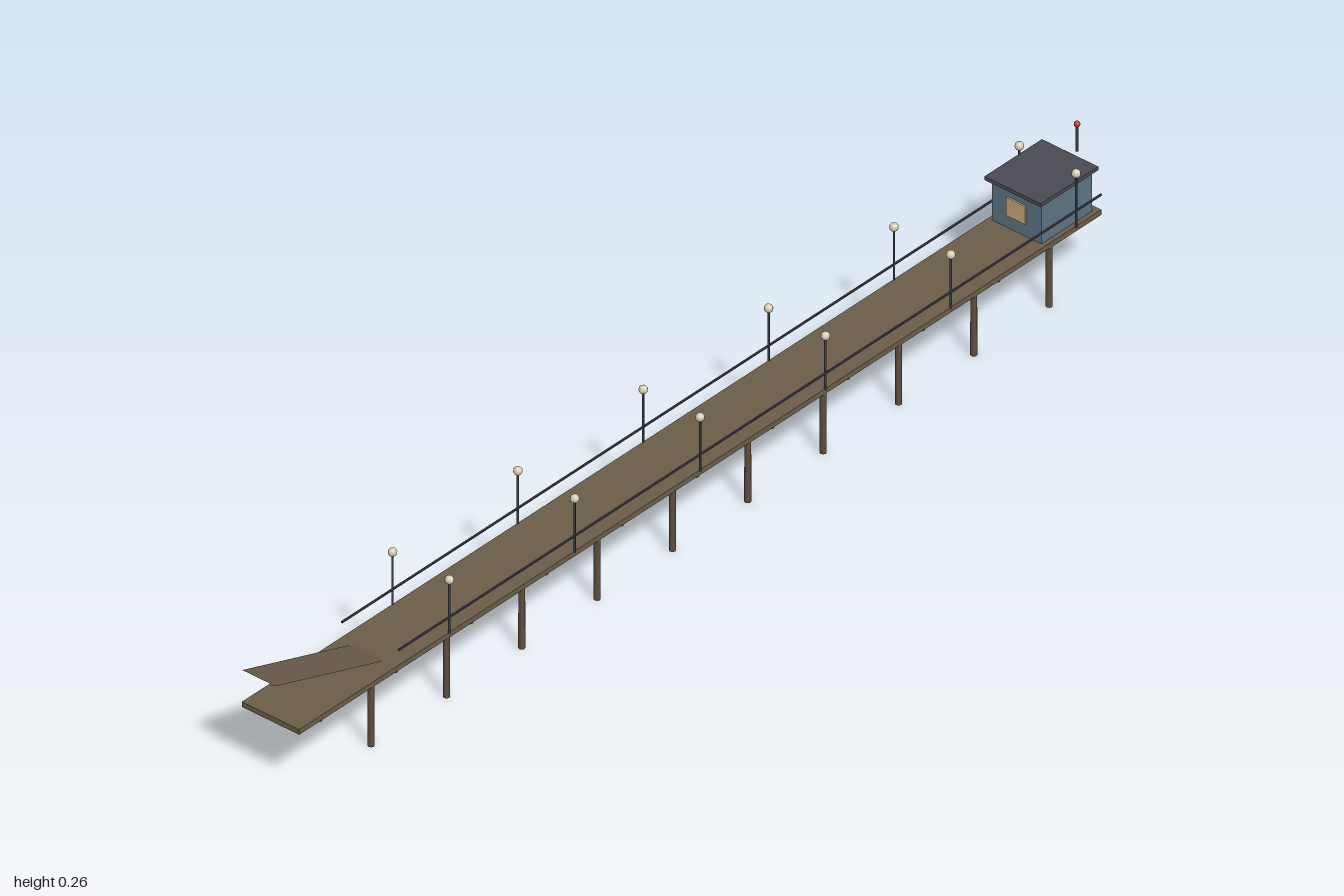
import * as THREE from 'three';

const mat = (name, color, extra = {}) => {
  const m = new THREE.MeshStandardMaterial({ color, ...extra });
  m.name = name;
  return m;
};

export function createModel() {
  const model = new THREE.Group();
  model.name = 'pier';

  const deckBrown = mat('deckBrown', 0x6b5d48);
  const pileBrown = mat('pileBrown', 0x5e4e40);
  const rampBrown = mat('rampBrown', 0x6a5b4b, { side: THREE.DoubleSide });
  const darkMetal = mat('darkMetal', 0x3a3d42);
  const wallBlue = mat('wallBlue', 0x5b7583);
  const roofGrey = mat('roofGrey', 0x4a4a52);
  const lampCream = mat('lampCream', 0xd6ccb4);
  const windowTan = mat('windowTan', 0xc8a878);
  const beaconRed = mat('beaconRed', 0xc03030);

  const add = (name, geometry, material, x, y, z) => {
    const mesh = new THREE.Mesh(geometry, material);
    mesh.name = name;
    mesh.position.set(x, y, z);
    model.add(mesh);
    return mesh;
  };
  const box = (name, w, h, d, material, x, y, z) =>
    add(name, new THREE.BoxGeometry(w, h, d), material, x, y, z);

  // Long walkway deck
  box('deck', 1.955, 0.01, 0.121, deckBrown, 0.006, 0.121, 0);

  // Thin boarding ramp rising towards the shore end
  const run = 0.265, rise = 0.087;
  const rampGeo = new THREE.PlaneGeometry(Math.hypot(run, rise), 0.07).rotateX(-Math.PI / 2);
  add('ramp', rampGeo, rampBrown, -1 + run / 2, 0.126 + rise / 2, 0)
    .rotation.z = -Math.atan2(rise, run);

  const pileGeo = new THREE.CylinderGeometry(0.0055, 0.0058, 0.117, 8);
  const poleGeo = new THREE.CylinderGeometry(0.002, 0.002, 0.1, 6);
  const headGeo = new THREE.SphereGeometry(0.0078, 10, 8);

  for (const side of [1, -1]) {
    // Supporting piles
    for (let i = 0; i < 10; i++) {
      add('pile', pileGeo, pileBrown, -0.79 + i * 0.1836, 0.0585, side * 0.055);
    }
    // Lamp posts
    for (let i = 0; i < 6; i++) {
      const x = -0.605 + i * 0.3055;
      add('lampPole', poleGeo, darkMetal, x, 0.173, side * 0.06);
      add('lampHead', headGeo, lampCream, x, 0.227, side * 0.06);
    }
    // Handrail
    box('handrail', 1.713, 0.003, 0.003, darkMetal, 0.1275, 0.155, side * 0.06);
  }

  // Booth at the sea end
  box('boothWalls', 0.123, 0.079, 0.104, wallBlue, 0.9085, 0.1655, 0);
  box('boothRoof', 0.14, 0.007, 0.119, roofGrey, 0.907, 0.2085, 0);
  box('boothWindow', 0.004, 0.035, 0.04, windowTan, 0.846, 0.168, 0);

  // Beacon mast
  add('beaconPole', new THREE.CylinderGeometry(0.0025, 0.0025, 0.05, 6), darkMetal, 0.994, 0.232, 0);
  add('beaconLight', new THREE.SphereGeometry(0.0055, 10, 8), beaconRed, 0.994, 0.259, 0);

  return model;
}
